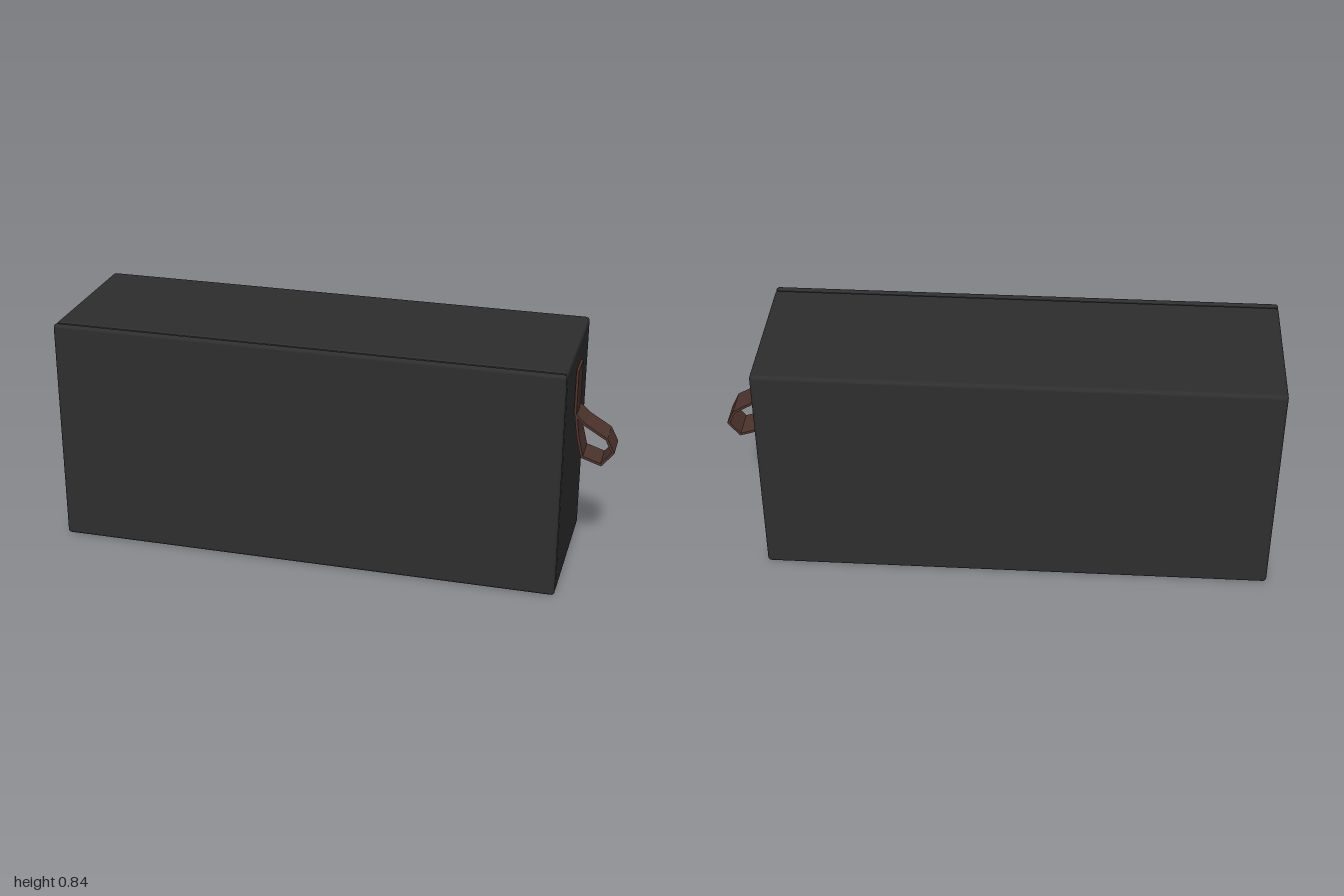
import * as THREE from 'three';
import { RoundedBoxGeometry } from 'three/addons/geometries/RoundedBoxGeometry.js';

export function createModel() {
  const model = new THREE.Group();
  const charcoal = new THREE.MeshStandardMaterial({ color: 0x2e2e2e });
  charcoal.name = 'charcoal';
  const leather = new THREE.MeshStandardMaterial({ color: 0x4e342e });
  leather.name = 'brown leather';

  const W = 1.845, H = 0.84, cx = -0.0775, cy = H / 2;
  const seamBack = 0.256, seamFront = 0.267, back = -0.293, front = 0.293;

  function add(parent, name, geometry, material, x, y, z) {
    const mesh = new THREE.Mesh(geometry, material);
    mesh.name = name;
    mesh.position.set(x, y, z);
    parent.add(mesh);
    return mesh;
  }

  // Main case: rounded at the back, cut off flat at the seam
  const depth = 0.28 - back, mid = (0.28 + back) / 2;
  const caseGeo = new RoundedBoxGeometry(W, H, depth, 4, 0.014);
  const pos = caseGeo.attributes.position;
  for (let i = 0; i < pos.count; i++) {
    pos.setZ(i, Math.min(pos.getZ(i), seamBack - mid));
  }
  add(model, 'caseBody', caseGeo, charcoal, cx, cy, mid);

  // Recessed core inside the seam
  add(model, 'seamCore', new THREE.BoxGeometry(W - 0.012, H - 0.012, 0.03),
    charcoal, cx, cy, (seamBack + seamFront) / 2);

  // Front panel
  add(model, 'frontPanel', new RoundedBoxGeometry(W, H, front - seamFront, 4, 0.0125),
    charcoal, cx, cy, (seamFront + front) / 2);

  // Strap on the side and its hanging loop
  const strap = new THREE.Group();
  strap.name = 'sideStrap';
  model.add(strap);
  const thick = 0.009, width = 0.112, strapZ = -0.007;
  function band(name, [x1, y1], [x2, y2], extra) {
    const length = Math.hypot(x2 - x1, y2 - y1) + extra;
    const mesh = add(strap, name, new THREE.BoxGeometry(length, thick, width),
      leather, (x1 + x2) / 2, (y1 + y2) / 2, strapZ);
    mesh.rotation.z = Math.atan2(y2 - y1, x2 - x1);
  }
  band('strapTab', [0.852, 0.762], [0.852, 0.597], 0);
  const loop = [[0.855, 0.594], [0.89, 0.561], [0.968, 0.514], [0.993, 0.464],
    [0.953, 0.414], [0.884, 0.437], [0.866, 0.51]];
  loop.forEach((p, i) => band('strapLoop', p, loop[(i + 1) % loop.length], 0.004));

  return model;
}
